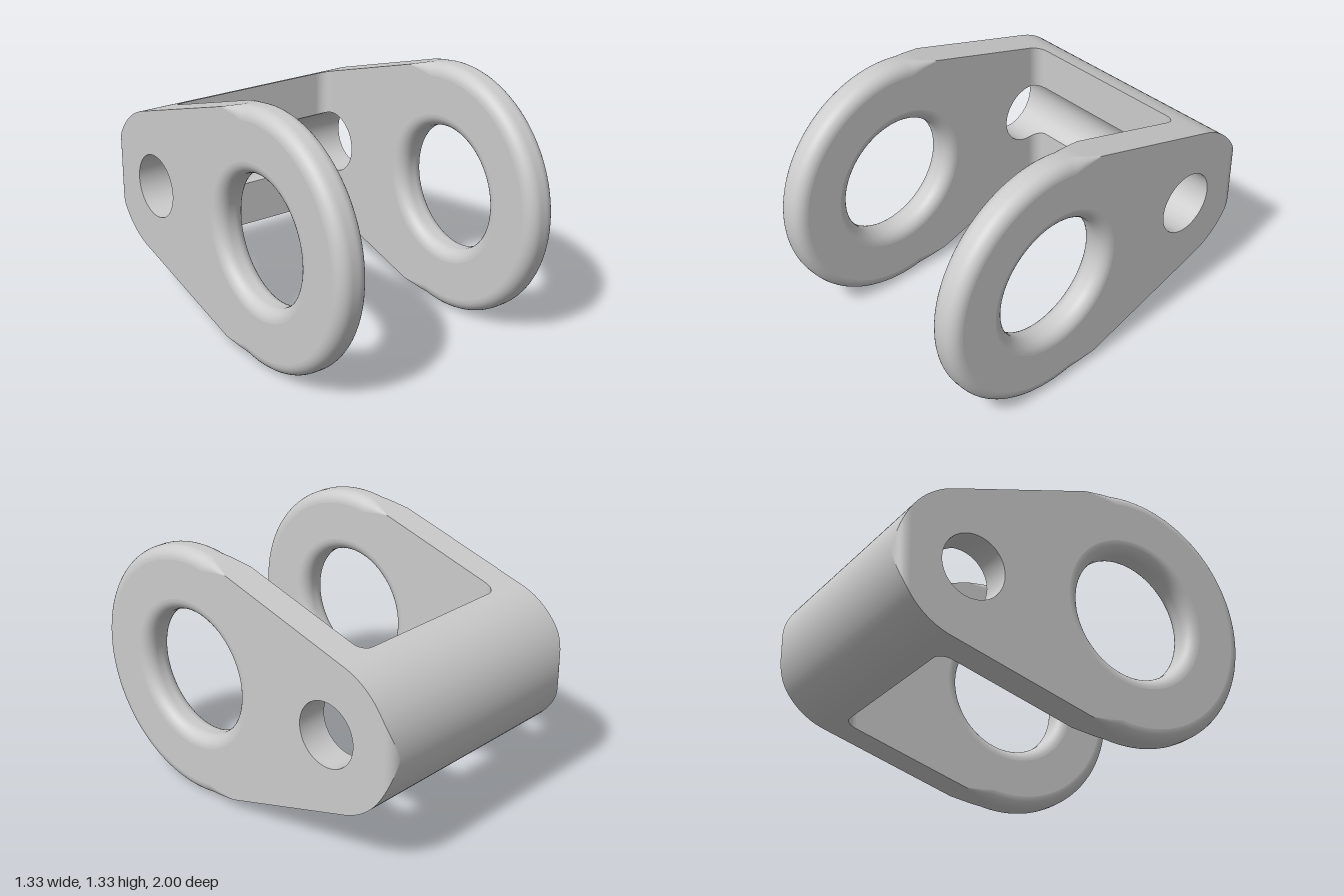
import * as THREE from 'three';

// Side profile is in (z, y) with y measured from the pin axis height
const MID = 0.667, IN = 0.5, OUT = 0.667, F = 0.065;
const BIG = { z: 0.333, r: 0.667 }, SMALL = { z: -0.6, r: 0.4 };
const RING = 0.333, BORE = 0.17;
const FRONT = -0.675, FILLET = FRONT + F, CORNER = -1 + F;
const A = Math.acos((SMALL.r - BIG.r) / (BIG.z - SMALL.z)); // tangent angle
const root = v => Math.sqrt(Math.max(0, v));
const clamp = THREE.MathUtils.clamp;

// Plan of the U: inner and outer x limit at each z
const xIn = z => z > FILLET ? IN : z > FRONT - 1e-6 ? IN - F + root(F * F - (z - FILLET) ** 2) : 0;
const xOut = z => z > CORNER ? OUT : OUT - F + root(F * F - (z - CORNER) ** 2);
const rimRound = z => F * clamp((z - 0.05) / 0.16, 0, 1);

const range = (a, b, n) => Array.from({ length: n + 1 }, (_, i) => a + (b - a) * i / n);
const arc = (c, r, a, b, n) => range(a, b, n).map(t =>
  [c + r * Math.cos(t), r * Math.sin(t), Math.cos(t), Math.sin(t)]);
const filletZ = range(0, Math.PI / 2, 8).map(t => FILLET - F * Math.sin(t));
const stepZ = [...filletZ, FRONT - 1e-5];
const flipY = p => [p[0], -p[1], p[2], -p[3]];
const closeLoop = top => [...top, ...top.slice(1, -1).reverse().map(flipY)];

// Upper half of the outline, from front to back
const lineY = z => BIG.r * Math.sin(A) + (z - BIG.z - BIG.r * Math.cos(A)) * -Math.cos(A) / Math.sin(A);
const cornerA = Math.acos((CORNER - SMALL.z) / SMALL.r);
const cornerArc = arc(SMALL.z, SMALL.r, cornerA, Math.PI, 14);
const outline = [
  ...arc(BIG.z, BIG.r, 0, A, 48),
  ...[0.12, 0.095, 0.07, 0.05, -0.2, -0.4, ...stepZ].map(z => [z, lineY(z), Math.cos(A), Math.sin(A)]),
  ...arc(SMALL.z, SMALL.r, A, cornerA, 10).slice(0, -1), ...cornerArc];

// Upper half of the pin bore
const boreY = z => root(BORE * BORE - (z - SMALL.z) ** 2);
const angleAt = z => Math.acos((z - SMALL.z) / BORE);
const bore = [
  ...arc(SMALL.z, BORE, 0, angleAt(FILLET), 12).slice(0, -1),
  ...stepZ.map(z => [z, boreY(z), 0, 1]),
  ...arc(SMALL.z, BORE, angleAt(FRONT - 1e-5), Math.PI, 12).slice(1)];
const boreLoop = closeLoop(bore);
const ringLoop = arc(BIG.z, RING, 0, Math.PI * 2, 72).slice(0, -1).map(p => [p[0], p[1], -p[2], -p[3]]);

function flip(g) {
  const ix = g.index.array;
  for (let i = 0; i < ix.length; i += 3) [ix[i], ix[i + 1]] = [ix[i + 1], ix[i]];
  return g;
}

// Smooth surface through rows of points, skipping collapsed triangles
function grid(rows, closed = false) {
  const w = rows[0].length, idx = [];
  const V = rows.flat().map(p => new THREE.Vector3(...p));
  const tri = (a, b, c) => {
    if (new THREE.Triangle(V[a], V[b], V[c]).getArea() > 1e-9) idx.push(a, b, c);
  };
  for (let i = 0; i < rows.length - (closed ? 0 : 1); i++) for (let j = 0; j < w - 1; j++) {
    const a = i * w + j, b = ((i + 1) % rows.length) * w + j;
    tri(a, a + 1, b);
    tri(a + 1, b + 1, b);
  }
  const g = new THREE.BufferGeometry().setFromPoints(V);
  g.setIndex(idx);
  g.computeVertexNormals();
  return g;
}

// Wall across the thickness along a closed loop, with rounded edges
function wall(loop, round) {
  return grid(loop.map(([z, y, nz, ny]) => {
    const r = round(z), a = xIn(z), b = xOut(z);
    const half = range(0, Math.PI / 2, 8).map(t => [r * (1 - Math.sin(t)), r * (1 - Math.cos(t))]);
    const at = (x, inset) => [x, y - ny * inset, z - nz * inset];
    return [...half.map(([d, x]) => at(a + x, d)), ...half.reverse().map(([d, x]) => at(b - x, d))];
  }), true);
}

// Flat cheek at a given x, facing -x
function cheek(pts, holes, x) {
  const v2 = list => list.map(p => new THREE.Vector2(p[0], p[1]));
  const s = new THREE.Shape(v2(pts));
  s.holes = holes.map(h => new THREE.Path(v2(h)));
  return new THREE.ShapeGeometry(s).rotateY(-Math.PI / 2).translate(x, 0, 0);
}

export function createModel() {
  const group = new THREE.Group();
  const material = new THREE.MeshStandardMaterial({ color: 0xcccccc });
  const inset = ([z, y, nz, ny]) => [z - nz * rimRound(z), y - ny * rimRound(z)];
  const upTo = (list, z) => list.filter(p => p[0] >= z - 1e-7);
  const around = top => [...top.slice(1).reverse().map(flipY), ...top];

  const ringEdge = ringLoop.map(([z, y, nz, ny]) => [z - nz * F, y - ny * F]);
  const outerEdge = around(upTo(outline, CORNER)).map(inset);
  const notch = around(upTo(bore, FILLET)).reverse();
  const innerEdge = [...around(upTo(outline, FILLET)).map(inset), ...notch];

  // Bridge front above and below the bore, with fillets into the cheeks
  const bridge = sign => grid([...filletZ.map(z => [xIn(z), z]), [0, FRONT]].map(([x, z]) => {
    const ys = [sign * boreY(z), sign * lineY(z)].sort((a, b) => a - b);
    return ys.map(y => [x, y, z]);
  }));

  const parts = {
    outerRim: wall(outline.length ? closeLoop(outline) : [], rimRound),
    pinBore: flip(wall(boreLoop, () => 0)),
    ringHole: flip(wall(ringLoop, () => F)),
    outerCheek: flip(cheek(outerEdge, [ringEdge, boreLoop], OUT)),
    innerCheek: cheek(innerEdge, [ringEdge], IN),
    backCorner: grid(cornerArc.map(([z, y]) => [[xOut(z), y, z], [xOut(z), -y, z]])),
    upperBridgeFront: bridge(1),
    lowerBridgeFront: bridge(-1),
  };
  // flat cheeks must face outward after flipping
  const outN = parts.outerCheek.attributes.normal;
  for (let i = 0; i < outN.count; i++) outN.setXYZ(i, 1, 0, 0);

  // Left half plus its mirror image
  for (const [name, g] of Object.entries(parts)) {
    g.translate(0, MID, 0);
    const mirrored = flip(g.clone().scale(-1, 1, 1));
    for (const [side, geo] of [['left', g], ['right', mirrored]]) {
      const mesh = new THREE.Mesh(geo, material);
      mesh.name = side + name[0].toUpperCase() + name.slice(1);
      group.add(mesh);
    }
  }
  return group;
}
